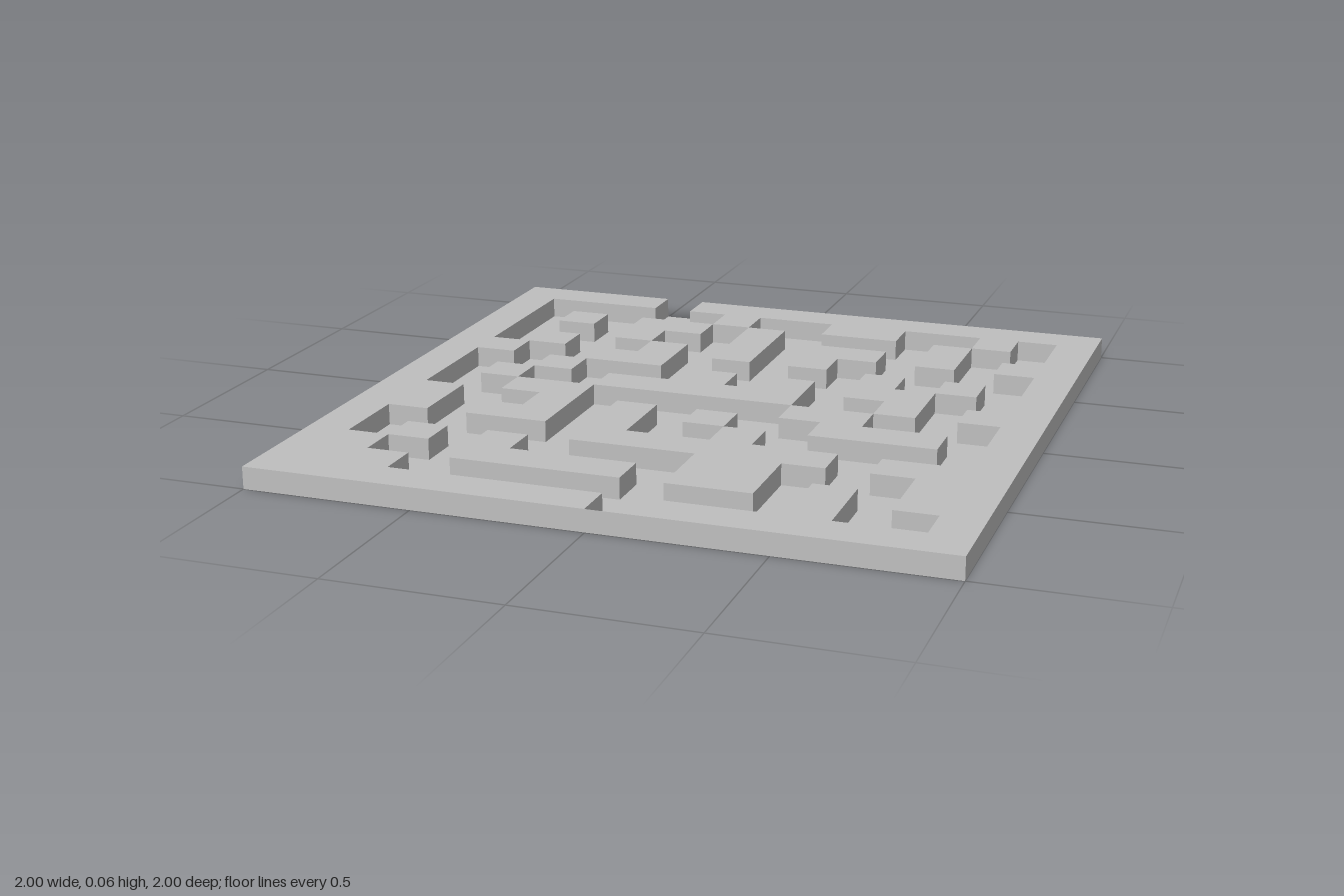
import * as THREE from 'three';
import { mergeGeometries } from 'three/addons/utils/BufferGeometryUtils.js';

// Maze plan, back row first: # is raised wall, . is sunken passage
const PLAN = [
  '####.###########',
  '#.....#..##..#.#',
  '#.#.##.#....#..#',
  '#...#..#.##.#.##',
  '#.#..#.#.#.....#',
  '##..##.....#.#.#',
  '#..#...#.#.##..#',
  '#.#..#####..#.##',
  '#..##.....##...#',
  '##..#.#.#..###.#',
  '##.##.#..#.....#',
  '#.....######.###',
  '#.#.#....##...##',
  '##..####.##.#.##',
  '###.........#..#',
  '########.#######',
];
const N = PLAN.length;
const CELL = 2 / N;
const TOP = 0.065;
const FLOOR = 0.002;

const isWall = (c, r) => PLAN[r][c] === '#';
const edge = (i) => -1 + i * CELL;

// Horizontal rectangle facing up (or down)
function flat(width, depth, x, y, z, down = false) {
  return new THREE.PlaneGeometry(width, depth)
    .rotateX(down ? Math.PI / 2 : -Math.PI / 2)
    .translate(x, y, z);
}

// Upright rectangle facing the direction given by a turn about y
function upright(width, low, x, z, turn) {
  return new THREE.PlaneGeometry(width, TOP - low)
    .rotateY(turn)
    .translate(x, (TOP + low) / 2, z);
}

export function createModel() {
  const grey = new THREE.MeshStandardMaterial({ color: 0xc0c0c0 });
  grey.name = 'light grey';
  const group = new THREE.Group();
  group.name = 'mazeBoard';

  const add = (name, parts) => {
    const mesh = new THREE.Mesh(mergeGeometries(parts), grey);
    mesh.name = name;
    group.add(mesh);
  };

  // Wall tops, merged into runs along each row
  const tops = [];
  for (let r = 0; r < N; r++) {
    for (let c = 0; c < N; c++) {
      if (!isWall(c, r)) continue;
      const start = c;
      while (c + 1 < N && isWall(c + 1, r)) c++;
      const width = (c + 1 - start) * CELL;
      tops.push(flat(width, CELL, edge(start) + width / 2, TOP, edge(r + 0.5)));
    }
  }
  add('wallTops', tops);

  // Wall sides wherever a wall meets a passage
  const sides = [];
  const directions = [[0, 1], [1, 0], [0, -1], [-1, 0]];
  for (let r = 0; r < N; r++) {
    for (let c = 0; c < N; c++) {
      if (!isWall(c, r)) continue;
      directions.forEach(([dx, dz], k) => {
        const nc = c + dx;
        const nr = r + dz;
        if (nc < 0 || nr < 0 || nc >= N || nr >= N || isWall(nc, nr)) return;
        const x = edge(c + 0.5 + dx / 2);
        const z = edge(r + 0.5 + dz / 2);
        sides.push(upright(CELL, FLOOR, x, z, (k * Math.PI) / 2));
      });
    }
  }
  add('wallSides', sides);

  // Passage floor, outer rim and underside
  add('passageFloor', [flat(2, 2, 0, FLOOR, 0)]);
  add('outerRim', directions.map(([dx, dz], k) => upright(2, 0, dx, dz, (k * Math.PI) / 2)));
  add('underside', [flat(2, 2, 0, 0, 0, true)]);

  return group;
}
